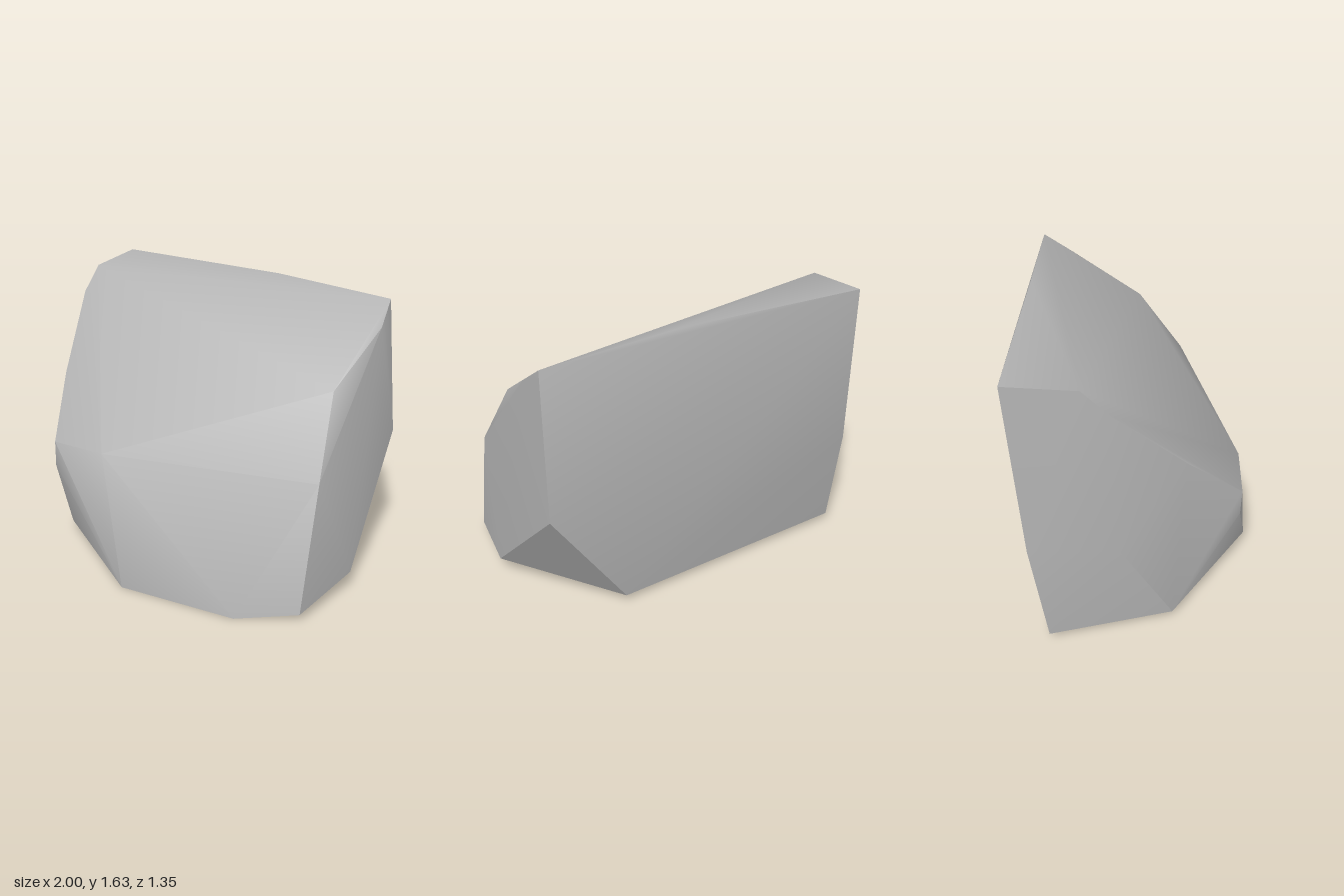
import * as THREE from 'three';
import { ConvexGeometry } from 'three/addons/geometries/ConvexGeometry.js';
import { toCreasedNormals } from 'three/addons/utils/BufferGeometryUtils.js';

export function createModel() {
  const stone = new THREE.MeshStandardMaterial({ color: 0xb0b0b0 });
  stone.name = 'stone grey';

  // Corners of the boulder, grouped by region
  const corners = [
    // top ridge
    [-0.94, 1.635, -0.635], [-0.92, 1.6, -0.25], [0.18, 1.615, -0.585], [0.91, 1.555, -0.575],
    // edge between the front and the +x side
    [0.935, 1.43, -0.41], [0.865, 1.165, 0.02], [0.935, 0.74, 0.29], [0.935, 0.045, 0.46],
    // back and +x side
    [0.935, 0.74, -0.675], [1, 0.105, -0.02], [0.47, 0.045, -0.595],
    // front foot
    [0.62, 0, 0.62], [-0.09, 0, 0.675],
    // edge between the front and the -x side
    [-0.92, 1.46, -0.11], [-0.77, 1.06, 0.28], [-0.61, 0.75, 0.59], [-0.615, 0.6, 0.585],
    // bulge of the front
    [-0.27, 0.75, 0.592],
    // -x side and its foot
    [-0.82, 0.045, 0.22], [-0.955, 0.62, -0.07], [-1, 0.65, -0.55], [-1, 0.045, -0.46],
  ].map((p) => new THREE.Vector3(...p));

  // Convex skin, softly shaded with sharp main edges
  const skin = new ConvexGeometry(corners);
  skin.deleteAttribute('normal');
  const boulder = new THREE.Mesh(toCreasedNormals(skin, 0.74), stone);
  boulder.name = 'boulder';

  const model = new THREE.Group();
  model.name = 'rock';
  model.add(boulder);
  return model;
}
